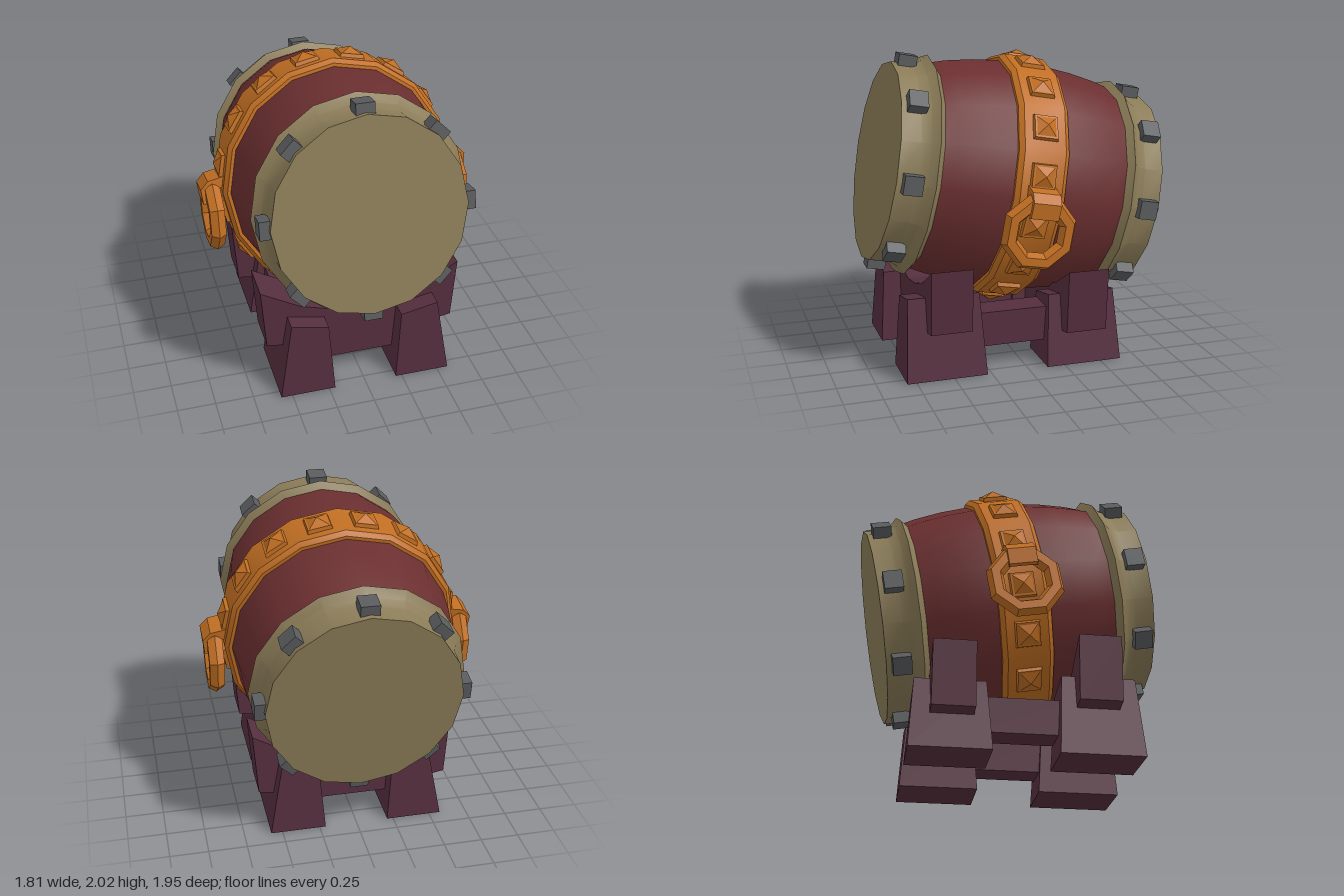
import * as THREE from 'three';
import { toCreasedNormals } from 'three/addons/utils/BufferGeometryUtils.js';

const mat = (name, color) => {
  const m = new THREE.MeshStandardMaterial({ color });
  m.name = name;
  return m;
};

export function createModel() {
  const red = mat('redWood', 0x6b2f30);
  const tan = mat('paleBrass', 0x8b7c58);
  const orange = mat('copper', 0xc06e22);
  const grey = mat('iron', 0x595b5d);
  const purple = mat('darkStandWood', 0x552e3d);

  const model = new THREE.Group();
  model.name = 'barrelOnStand';
  const barrel = new THREE.Group();
  barrel.name = 'barrel';
  barrel.position.y = 1.175;
  barrel.rotation.x = -0.178;
  model.add(barrel);

  const add = (parent, name, geo, material) => {
    const m = new THREE.Mesh(geo, material);
    m.name = name;
    parent.add(m);
    return m;
  };

  // Sixteen-sided turned parts along z, slightly narrow in x
  const SIDES = 16, NARROW = 0.96;
  const turned = (pts) => {
    const g = new THREE.LatheGeometry(pts.map(([r, s]) => new THREE.Vector2(r, s)), SIDES);
    g.rotateX(Math.PI / 2);
    g.scale(NARROW, 1, 1);
    return toCreasedNormals(g, 0.5);
  };

  add(barrel, 'staves', turned([
    [0.67, -0.65], [0.705, -0.52], [0.737, -0.34], [0.757, -0.14],
    [0.757, 0.14], [0.737, 0.34], [0.705, 0.52], [0.67, 0.65],
  ]), red);

  // Flared end caps
  const cap = turned([
    [0.68, 0.605], [0.725, 0.645], [0.675, 0.69], [0.65, 0.75], [0.65, 0.874], [0, 0.874],
  ]);
  add(barrel, 'frontCap', cap, tan);
  add(barrel, 'backCap', cap, tan).rotation.y = Math.PI;

  // Middle band with bevelled edges
  add(barrel, 'middleBand', turned([
    [0.74, -0.165], [0.777, -0.165], [0.803, -0.135],
    [0.803, 0.135], [0.777, 0.165], [0.74, 0.165],
  ]), orange);

  // Places a part on the barrel surface, its y axis pointing outward
  const place = (mesh, angle, r, s) => {
    mesh.position.set(Math.sin(angle) * r * NARROW, Math.cos(angle) * r, s);
    mesh.rotation.z = -angle;
  };

  // Iron studs on the caps
  const block = new THREE.BoxGeometry(0.12, 0.1, 0.12);
  for (const s of [-0.78, 0.78]) {
    for (let i = 0; i < 8; i++) {
      place(add(barrel, 'capStud', block, grey), i * Math.PI / 4, 0.66, s);
    }
  }

  // Pyramid studs on each facet of the band
  const frustum = (top, bottom, h) => new THREE.CylinderGeometry(
    top * Math.SQRT1_2, bottom * Math.SQRT1_2, h, 4, 1).rotateY(Math.PI / 4).toNonIndexed();
  const plate = frustum(0.15, 0.165, 0.03);
  const point = frustum(0, 0.13, 0.035);
  plate.computeVertexNormals();
  point.computeVertexNormals();
  for (let i = 0; i < SIDES; i++) {
    const a = (i + 0.5) * Math.PI * 2 / SIDES;
    place(add(barrel, 'bandPlate', plate, orange), a, 0.797, 0);
    place(add(barrel, 'bandPoint', point, orange), a, 0.829, 0);
  }

  // Octagonal ring handles and their hooks
  const ring = new THREE.TorusGeometry(0.193, 0.056, 6, 8)
    .rotateZ(Math.PI / 8).rotateY(Math.PI / 2).toNonIndexed();
  ring.computeVertexNormals();
  const extrude = (pts, depth) => {
    const g = new THREE.ExtrudeGeometry(
      new THREE.Shape(pts.map(([x, y]) => new THREE.Vector2(x, y))),
      { depth, bevelEnabled: false });
    return g.translate(0, 0, -depth / 2);
  };
  const hook = extrude([
    [0.73, 0.02], [0.83, 0.02], [0.865, -0.02], [0.865, -0.085], [0.895, -0.08],
    [0.905, 0.02], [0.855, 0.075], [0.73, 0.1],
  ], 0.18);
  for (const side of [0, 1]) {
    const handle = new THREE.Group();
    handle.name = side ? 'rightHandle' : 'leftHandle';
    handle.rotation.y = side * Math.PI;
    const r = add(handle, 'handleRing', ring, orange);
    r.position.set(0.828, -0.175, 0);
    add(handle, 'handleHook', hook, orange);
    barrel.add(handle);
  }

  // Stand
  const stand = new THREE.Group();
  stand.name = 'stand';
  model.add(stand);

  // Tapered leg: box corners moved to a wide foot and a sloping top
  const leg = (side, z0, z1, yOut) => {
    const g = new THREE.BoxGeometry(1, 1, 1).toNonIndexed();
    const p = g.attributes.position;
    for (let i = 0; i < p.count; i++) {
      const top = p.getY(i) > 0, front = p.getZ(i) > 0;
      const outer = p.getX(i) * side > 0;
      const x = outer ? (top ? 0.49 : 0.575) : (top ? 0.245 : 0.21);
      const y = top ? (outer ? yOut : yOut - 0.05) : 0;
      const inset = top ? 0.03 : 0;
      p.setXYZ(i, x * side, y, front ? z1 - inset : z0 + inset);
    }
    g.computeVertexNormals();
    return g;
  };

  // Cradle: cross beam rising to an upright at each side
  const cradle = (drop) => {
    const half = [
      [0.22, 0.15], [0.3, 0.26 - drop], [0.45, 0.3 - drop], [0.63, 0.33 - drop],
      [0.66, 0.75 - drop], [0.4, 0.6 - drop], [0.2, 0.54 - drop],
    ];
    const mirrored = half.slice().reverse().map(([x, y]) => [-x, y]);
    return extrude([...half, [0, 0.51 - drop], ...mirrored], 0.27);
  };

  for (const [name, z0, z1, yOut, zc, drop] of [
    ['front', 0.28, 0.81, 0.535, 0.53, 0],
    ['back', -0.64, -0.13, 0.47, -0.375, 0.085],
  ]) {
    for (const side of [1, -1]) add(stand, name + 'Leg', leg(side, z0, z1, yOut), purple);
    add(stand, name + 'Cradle', cradle(drop), purple).position.z = zc;
  }

  // Rails joining front and back legs
  for (const side of [1, -1]) {
    add(stand, 'sideRail', new THREE.BoxGeometry(0.2, 0.23, 0.6), purple)
      .position.set(side * 0.36, 0.265, 0.08);
  }
  return model;
}
